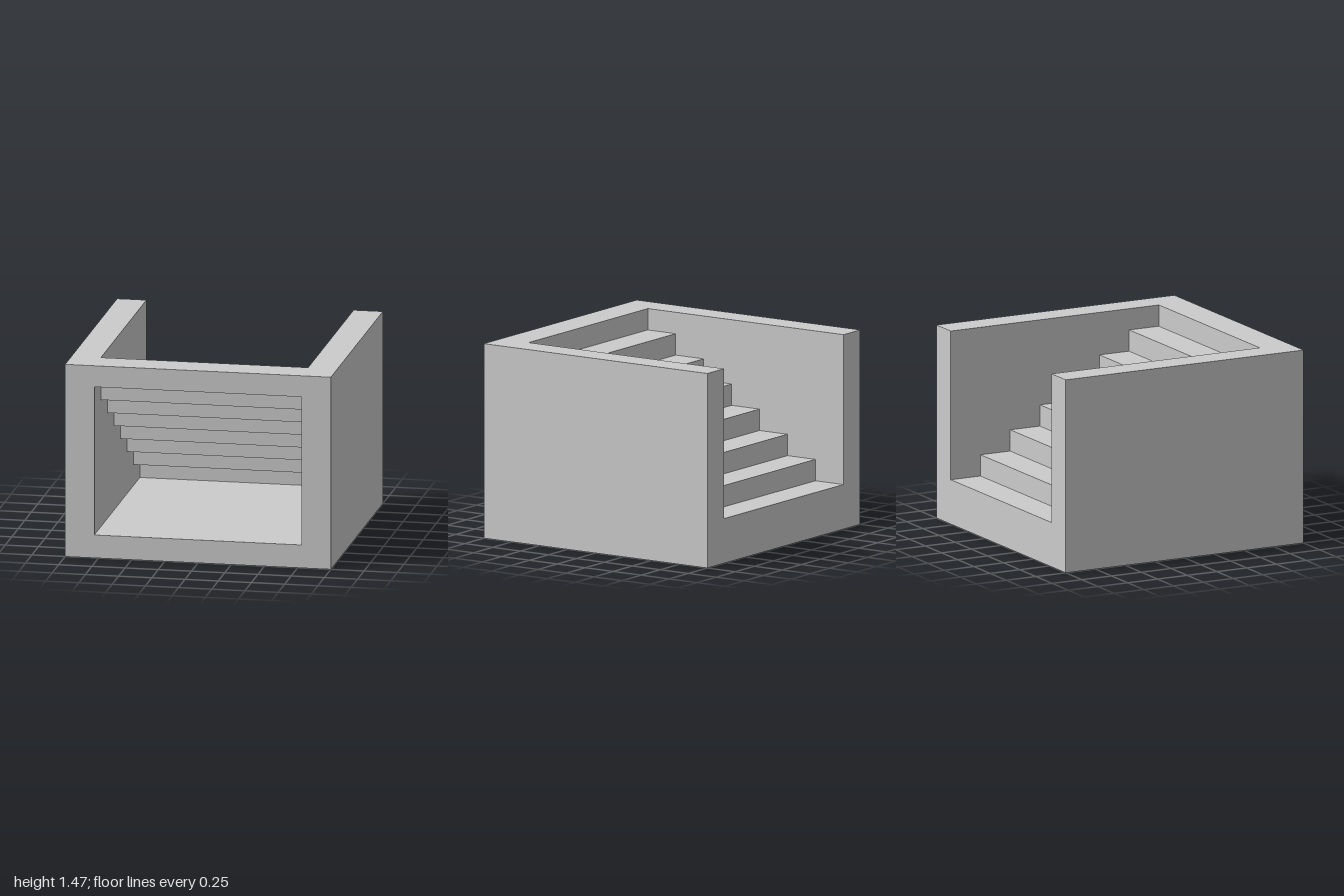
import * as THREE from 'three';

export function createModel() {
  const group = new THREE.Group();
  const material = new THREE.MeshStandardMaterial({ color: 0xcccccc, flatShading: true });

  const height = 1.465, floorTop = 0.175, inner = 0.78;
  const stepCount = 8, depth = 2 / stepCount;
  const rise = (height - floorTop) / stepCount;

  // Floor and both side walls: one U-shaped section run front to back
  const section = new THREE.Shape([
    [-1, 0], [1, 0], [1, height], [inner, height],
    [inner, floorTop], [-inner, floorTop], [-inner, height], [-1, height],
  ].map(([x, y]) => new THREE.Vector2(x, y)));
  const shellGeometry = new THREE.ExtrudeGeometry(section, { depth: 2, bevelEnabled: false });
  shellGeometry.translate(0, 0, -1);
  const shell = new THREE.Mesh(shellGeometry, material);
  shell.name = 'floorAndWalls';
  group.add(shell);

  // Slab steps climbing from the back, edge to edge, hollow underneath;
  // the last one is the lintel over the front opening
  const stairs = new THREE.Group();
  stairs.name = 'stairs';
  const stepGeometry = new THREE.BoxGeometry(2 * inner, rise, depth);
  for (let i = 0; i < stepCount; i++) {
    const step = new THREE.Mesh(stepGeometry, material);
    step.name = i === stepCount - 1 ? 'frontLintel' : `step${i + 1}`;
    step.position.set(0, floorTop + (i + 0.5) * rise, -1 + (i + 0.5) * depth);
    stairs.add(step);
  }
  group.add(stairs);

  return group;
}
